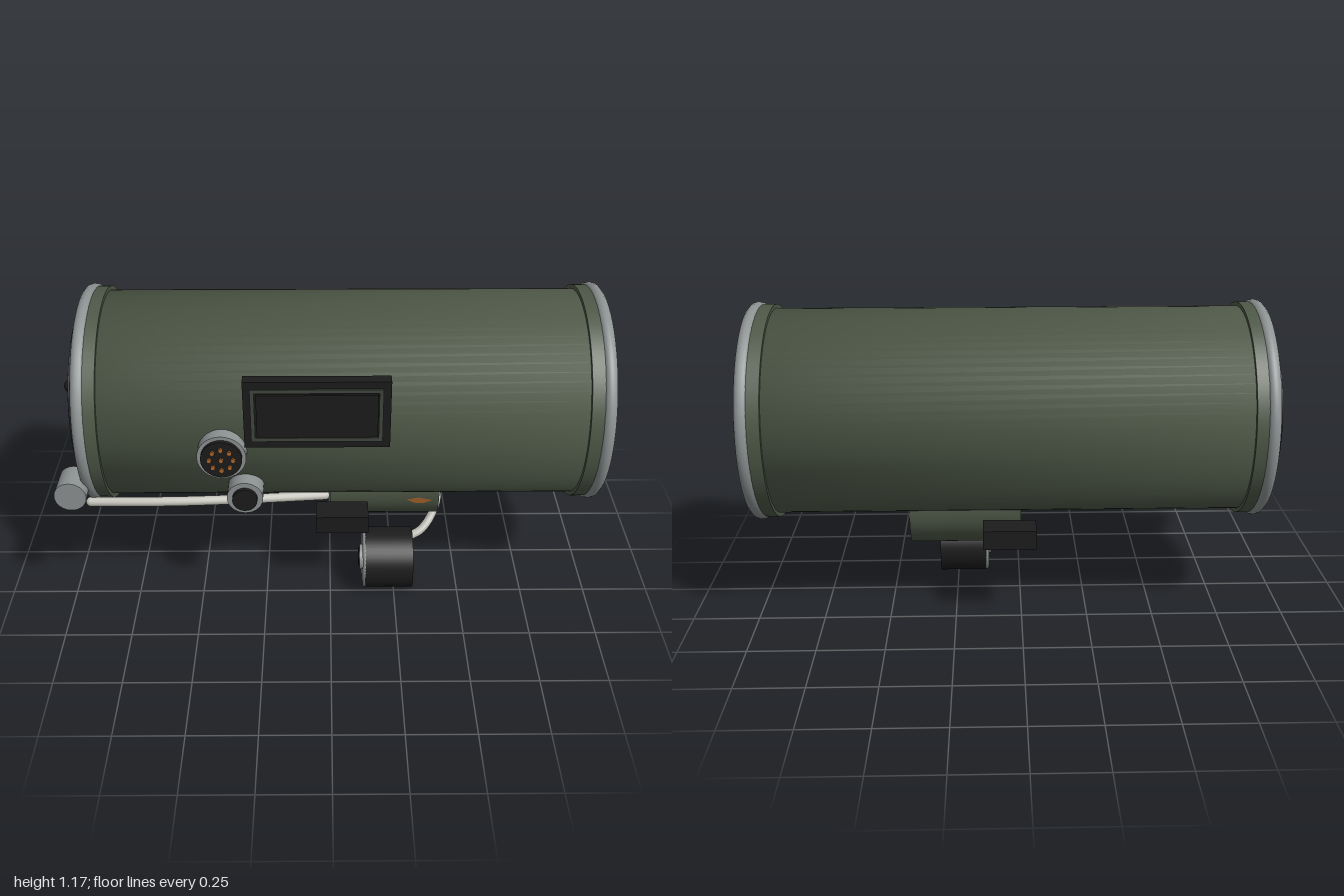
import * as THREE from 'three';

const mat = (name, color, side = THREE.FrontSide) => {
  const m = new THREE.MeshStandardMaterial({ color, side });
  m.name = name;
  return m;
};

export function createModel() {
  const green = mat('olive green', 0x4e5847);
  const black = mat('black', 0x1c1c1d);
  const grey = mat('metal grey', 0x8d9292);
  const pale = mat('pale cable', 0xbfbfb6);
  const orange = mat('orange', 0xb0682c, THREE.DoubleSide);
  const groove = mat('groove grey', 0x41473f);

  const model = new THREE.Group();
  const CY = 0.76, CZ = -0.02; // axis of the main drum

  const add = (name, geo, material, x = 0, y = 0, z = 0) => {
    const mesh = new THREE.Mesh(geo, material);
    mesh.name = name;
    mesh.position.set(x, y, z);
    model.add(mesh);
    return mesh;
  };
  // Cylinder along x between two ends
  const cylX = (name, r, x0, x1, y, z, m, seg = 48) =>
    add(name, new THREE.CylinderGeometry(r, r, x1 - x0, seg).rotateZ(-Math.PI / 2), m, (x0 + x1) / 2, y, z);
  // Cylinder along z between two ends
  const cylZ = (name, r, z0, z1, x, y, m, seg = 32) =>
    add(name, new THREE.CylinderGeometry(r, r, z1 - z0, seg).rotateX(Math.PI / 2), m, x, y, (z0 + z1) / 2);
  const ringX = (name, r, t, x, y, z, m) =>
    add(name, new THREE.TorusGeometry(r, t, 12, 64).rotateY(Math.PI / 2), m, x, y, z);
  const box = (name, x0, x1, y0, y1, z0, z1, m) =>
    add(name, new THREE.BoxGeometry(x1 - x0, y1 - y0, z1 - z0), m, (x0 + x1) / 2, (y0 + y1) / 2, (z0 + z1) / 2);
  const tube = (name, pts, r, m) => {
    const curve = new THREE.CatmullRomCurve3(pts.map(p => new THREE.Vector3(...p)));
    add(name, new THREE.TubeGeometry(curve, 40, r, 12), m);
    for (const p of [pts[0], pts[pts.length - 1]])
      add(name + 'End', new THREE.SphereGeometry(r, 12, 8), m, ...p);
  };

  // Main drum, with normals softened across the end edges
  const half = 0.93;
  const profile = [[0, -half], [0.385, -half], [0.385, half], [0, half]].map(p => new THREE.Vector2(...p));
  const drum = new THREE.LatheGeometry(profile, 72);
  const pos = drum.attributes.position, nor = drum.attributes.normal;
  for (let i = 0; i < pos.count; i++) {
    const x = pos.getX(i), z = pos.getZ(i), r = Math.hypot(x, z);
    if (r > 0.01) nor.setXYZ(i, 0.85 * x / r, 0.52 * Math.sign(pos.getY(i)), 0.85 * z / r);
  }
  add('drum', drum.rotateZ(-Math.PI / 2), green, 0.045, CY, CZ);

  // End bands, metal rims and bolts
  cylX('leftBand', 0.4, -0.875, -0.815, CY, CZ, green, 72);
  cylX('rightBand', 0.4, 0.906, 0.965, CY, CZ, green, 72);
  for (const [x, boltX] of [[-0.878, -0.891], [0.972, 0.982]]) {
    ringX('rim', 0.384, 0.026, x, CY, CZ, grey);
    for (let i = 0; i < 12; i++) {
      const a = i * Math.PI / 6;
      add('bolt', new THREE.SphereGeometry(0.013, 12, 8), pale,
        boltX, CY + 0.355 * Math.cos(a), CZ + 0.355 * Math.sin(a));
    }
  }

  // Grooved disc with hub on the -x end
  cylX('endDisc', 0.32, -0.924, -0.88, CY, CZ, black, 64);
  for (let i = 0; i < 6; i++) ringX('discRing', 0.09 + i * 0.042, 0.005, -0.924, CY, CZ, groove);
  cylX('hubShaft', 0.03, -0.965, -0.92, 0.795, 0.005, black, 24);
  ringX('hubRing', 0.06, 0.021, -0.943, 0.795, 0.005, grey);
  add('hubKnob', new THREE.SphereGeometry(0.028, 20, 14), black, -0.972, 0.797, 0);

  // Side canister at the -x end
  cylZ('canister', 0.058, 0.27, 0.383, -0.937, 0.558, grey);

  // Front display panel with a thin frame
  box('panel', -0.3, 0.207, 0.778, 1.04, 0.353, 0.396, black);
  box('panelScreen', -0.255, 0.163, 0.825, 0.993, 0.39, 0.405, black);
  for (const y of [0.806, 0.999]) box('panelFrame', -0.275, 0.18, y, y + 0.014, 0.39, 0.402, groove);
  for (const x of [-0.275, 0.166]) box('panelFrame', x, x + 0.014, 0.82, 0.999, 0.39, 0.402, groove);

  // Large connector with contact pins
  const dx = -0.382, dy = 0.743;
  cylZ('connector', 0.087, 0.3, 0.408, dx, dy, grey);
  cylZ('connectorFace', 0.073, 0.4, 0.422, dx, dy, black);
  for (let i = 0; i < 9; i++) {
    const a = i * Math.PI / 4, r = i < 8 ? 0.042 : 0;
    cylZ('pin', 0.0085, 0.42, 0.43, dx + r * Math.cos(a), dy + r * Math.sin(a), orange, 10);
  }

  // Small connector
  cylZ('smallConnector', 0.065, 0.25, 0.4, -0.307, 0.563, grey);
  cylZ('smallConnectorFace', 0.045, 0.39, 0.415, -0.307, 0.563, black);

  // Lower pod and its curved orange mark
  const podY = 0.405, podR = 0.175;
  cylX('pod', podR, 0, 0.42, podY, CZ, green);
  const mark = new THREE.ShapeGeometry(new THREE.Shape(
    [[0.295, 0.377], [0.34, 0.386], [0.395, 0.373], [0.36, 0.355], [0.325, 0.357]].map(p => new THREE.Vector2(...p))));
  const mp = mark.attributes.position;
  for (let i = 0; i < mp.count; i++) mp.setZ(i, CZ + Math.sqrt(0.178 ** 2 - (mp.getY(i) - podY) ** 2));
  mark.computeVertexNormals();
  add('podMark', mark, orange);

  // Black blocks either side of the pod
  box('frontBlock', -0.055, 0.144, 0.307, 0.38, 0.173, 0.275, black);
  box('backBlock', -0.055, 0.144, 0.307, 0.38, -0.311, -0.208, black);

  // Hanging camera barrel with lens
  cylX('barrel', 0.118, 0.135, 0.32, 0.12, 0.185, black);
  ringX('barrelRing', 0.107, 0.011, 0.136, 0.12, 0.185, grey);
  cylX('lens', 0.05, 0.115, 0.14, 0.12, 0.185, grey, 32);
  cylX('lensGlass', 0.036, 0.111, 0.13, 0.12, 0.185, black, 32);

  // Cables
  tube('longCable', [[-0.89, 0.463, 0.28], [-0.6, 0.455, 0.27], [-0.3, 0.433, 0.225], [-0.02, 0.402, 0.16]], 0.018, pale);
  tube('hookCable', [[0.4, 0.335, 0.01], [0.425, 0.31, 0.025], [0.405, 0.245, 0.07], [0.36, 0.2, 0.115], [0.31, 0.18, 0.135]], 0.017, pale);

  return model;
}
